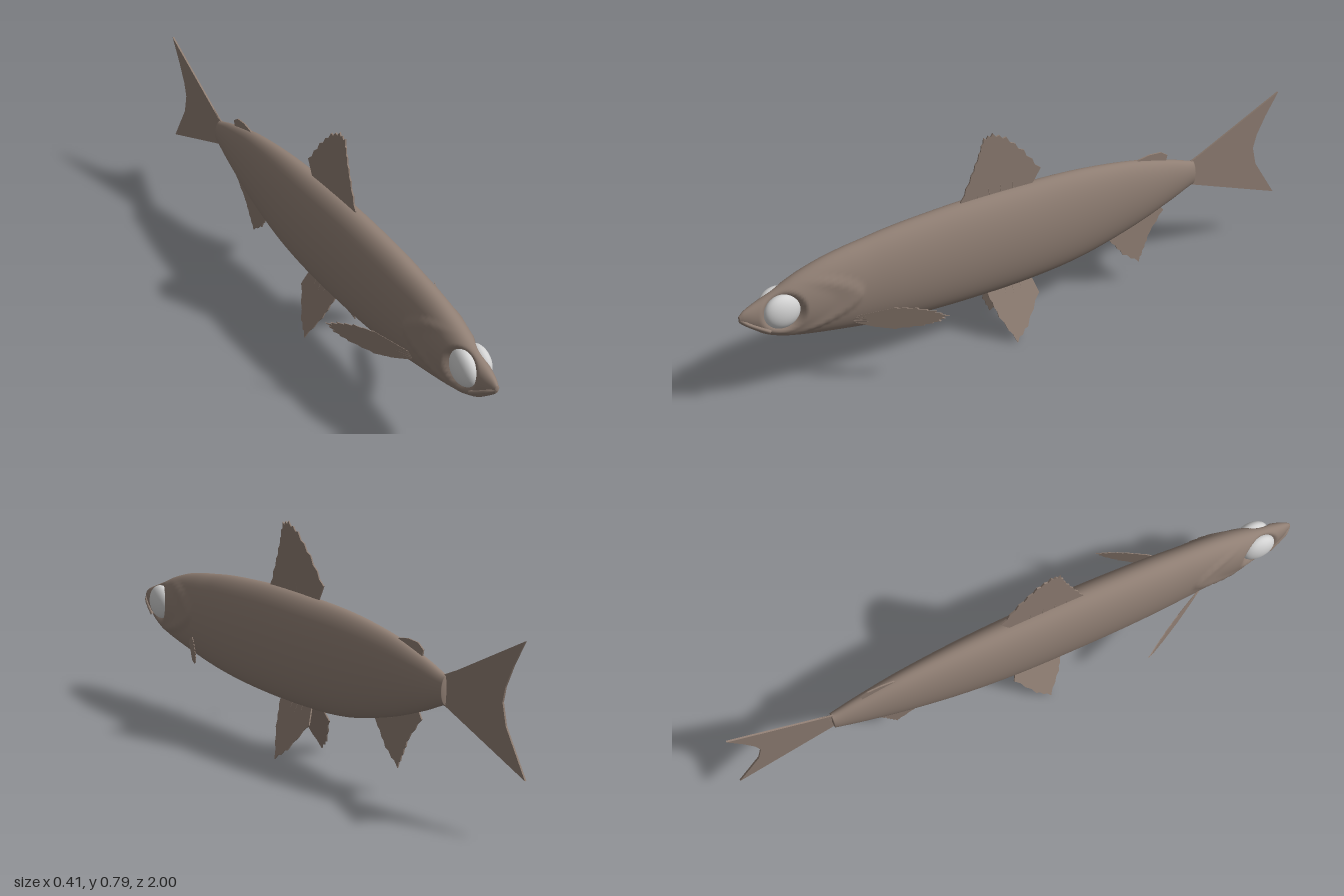
import * as THREE from 'three';
import { mergeGeometries, mergeVertices } from 'three/addons/utils/BufferGeometryUtils.js';

const skin = new THREE.MeshStandardMaterial({ color: 0x8f7e73 });
skin.name = 'skin brown';
const eyeWhite = new THREE.MeshStandardMaterial({ color: 0xd2d2d2 });
eyeWhite.name = 'eye grey';

// z, bottom, top, half width, from snout to tail root
const stations = [
  [1.0, 0.368, 0.392, 0.006], [0.985, 0.352, 0.405, 0.014], [0.96, 0.33, 0.417, 0.024],
  [0.92, 0.298, 0.433, 0.035], [0.87, 0.275, 0.453, 0.047], [0.82, 0.26, 0.475, 0.055],
  [0.77, 0.248, 0.493, 0.061], [0.71, 0.235, 0.51, 0.065], [0.64, 0.221, 0.523, 0.069],
  [0.57, 0.208, 0.532, 0.072], [0.48, 0.195, 0.543, 0.076], [0.36, 0.184, 0.551, 0.079],
  [0.2, 0.177, 0.556, 0.08], [0.0, 0.177, 0.551, 0.078], [-0.2, 0.195, 0.539, 0.069],
  [-0.4, 0.244, 0.509, 0.053], [-0.55, 0.298, 0.467, 0.036], [-0.63, 0.333, 0.438, 0.025],
  [-0.652, 0.34, 0.432, 0.021],
];
const EYE = { x: 0.025, y: 0.381, z: 0.868 };
const smooth = THREE.MathUtils.smoothstep;

// Lofted body with sunken eye sockets and raised gill covers
function bodyGeometry() {
  const spline = (f) => new THREE.CatmullRomCurve3(stations.map(f), false, 'catmullrom');
  const heights = spline((s) => new THREE.Vector3(s[0], s[1], s[2]));
  const widths = spline((s) => new THREE.Vector3(s[0], s[3], 0));
  const rows = 144, cols = 56, pos = [], index = [];
  for (let i = 0; i <= rows; i++) {
    const { x: z, y: low, z: high } = heights.getPoint(i / rows);
    const half = widths.getPoint(i / rows).y;
    for (let j = 0; j < cols; j++) {
      const a = (j / cols) * Math.PI * 2;
      const y = (low + high) / 2 + Math.cos(a) * (high - low) / 2;
      let x = half * Math.sin(a);
      const d = Math.hypot(z - EYE.z, y - EYE.y);
      x *= 1 - 0.55 * (1 - smooth(d, 0.045, 0.075));
      const edge = 0.61 + 0.13 * ((y - 0.39) / 0.085) ** 2;
      const gill = smooth(z, edge - 0.006, edge + 0.012) * (1 - smooth(z, edge + 0.02, edge + 0.1));
      x += Math.sign(x) * 0.006 * gill * smooth(y, 0.27, 0.31) * (1 - smooth(y, 0.45, 0.48));
      pos.push(x, y, z);
    }
  }
  for (let i = 0; i < rows; i++) for (let j = 0; j < cols; j++) {
    const a = i * cols + j, b = i * cols + (j + 1) % cols;
    index.push(a, b, a + cols, b, b + cols, a + cols);
  }
  // End caps
  const nose = pos.length / 3, tail = nose + 1, last = rows * cols;
  pos.push(0, 0.38, 1.001, 0, 0.386, -0.655);
  for (let j = 0; j < cols; j++) {
    const k = (j + 1) % cols;
    index.push(nose, k, j, tail, last + j, last + k);
  }
  const g = new THREE.BufferGeometry();
  g.setAttribute('position', new THREE.Float32BufferAttribute(pos, 3));
  g.setIndex(index);
  g.computeVertexNormals();
  return g;
}

// Thin fin: outline runs from base start to base end; the free edge may be ragged
function finGeometry(outline, { teeth = 0, rays = 6, rayLength = 0.45, thick = 0.005 } = {}) {
  const pts = outline.map((p) => new THREE.Vector2(...p));
  const n = pts.length, start = pts[0], end = pts[n - 1];
  const mid = start.clone().add(end).multiplyScalar(0.5);
  const edge = [start];
  for (let i = 0; i < n - 1; i++) {
    if (teeth && i > 0 && i < n - 2) {
      for (let k = 1; k < 4; k++) {
        edge.push(pts[i].clone().lerp(pts[i + 1], k / 4).lerp(mid, k % 2 ? teeth : 0));
      }
    }
    edge.push(pts[i + 1]);
  }
  const parts = [new THREE.ExtrudeGeometry(new THREE.Shape(edge), { depth: thick, bevelEnabled: false })
    .translate(0, 0, -thick / 2)];
  // Raised rays fanning from the base
  for (let i = 0; i < rays; i++) {
    const t = (i + 0.5) / rays;
    const from = start.clone().lerp(end, t);
    const f = 1 + t * (n - 3), k = Math.min(Math.floor(f), n - 3);
    const dir = pts[k].clone().lerp(pts[k + 1], f - k).sub(from).multiplyScalar(rayLength);
    const ray = new THREE.CylinderGeometry(0.001, 0.004, dir.length(), 6);
    ray.rotateZ(Math.atan2(dir.y, dir.x) - Math.PI / 2);
    ray.translate(from.x + dir.x / 2, from.y + dir.y / 2, 0);
    parts.push(ray.toNonIndexed());
  }
  return mergeGeometries(parts);
}

// Slant a geometry by adding a shift to one axis
function shear(g, fn) {
  const p = g.attributes.position;
  for (let i = 0; i < p.count; i++) {
    const [dx, dz] = fn(p.getX(i), p.getY(i));
    p.setX(i, p.getX(i) + dx);
    p.setZ(i, p.getZ(i) + dz);
  }
  g.computeVertexNormals();
  return g;
}

export function createModel() {
  const fish = new THREE.Group();
  fish.name = 'fish';
  const add = (name, geometry, material = skin) => {
    const mesh = new THREE.Mesh(geometry, material);
    mesh.name = name;
    fish.add(mesh);
    return mesh;
  };
  add('body', bodyGeometry());

  // Fins on the centre line, drawn as (-z, y)
  const upright = (outline, options) => finGeometry(outline, options).rotateY(Math.PI / 2);
  const dorsal = upright([[-0.235, 0.535], [-0.233, 0.56], [-0.196, 0.65], [-0.169, 0.724], [-0.153, 0.78],
    [-0.121, 0.788], [-0.072, 0.76], [-0.008, 0.69], [0.056, 0.6], [0.02, 0.535]], { teeth: 0.04 });
  add('dorsalFin', shear(dorsal, (x, y) => [(y - 0.55) * 0.042, 0]));
  add('adiposeFin', upright([[0.4, 0.49], [0.435, 0.506], [0.475, 0.512], [0.52, 0.508], [0.545, 0.49],
    [0.54, 0.465], [0.5, 0.465]], { rays: 0 }));
  const anal = upright([[0.31, 0.24], [0.335, 0.2], [0.378, 0.14], [0.442, 0.09], [0.464, 0.14],
    [0.485, 0.193], [0.54, 0.268], [0.51, 0.315]], { teeth: 0.04 });
  add('analFin', shear(anal, (x, y) => [(0.25 - y) * 0.06, 0]));
  add('tailFin', upright([[0.63, 0.43], [0.655, 0.437], [0.985, 0.606], [0.94, 0.525], [0.909, 0.456], [0.898, 0.407],
    [0.914, 0.338], [1.0, 0.193], [0.655, 0.335], [0.63, 0.342]], { rays: 9, rayLength: 0.4, thick: 0.006 }));

  for (const [side, s] of [['left', 1], ['right', -1]]) {
    // Eyes
    const eye = add(side + 'Eye', new THREE.SphereGeometry(0.06, 32, 24), eyeWhite);
    eye.scale.x = 0.55;
    eye.position.set(s * EYE.x, EYE.y, EYE.z);

    // Upper jaw ridge
    const jaw = new THREE.CatmullRomCurve3([[0, 0.379, 0.998], [s * 0.016, 0.367, 0.98], [s * 0.026, 0.347, 0.95],
      [s * 0.034, 0.325, 0.915]].map((p) => new THREE.Vector3(...p)));
    add(side + 'Jaw', new THREE.TubeGeometry(jaw, 16, 0.006, 8));

    // Belly fins splayed outward
    const pelvic = upright([[-0.155, 0.2], [-0.15, 0.165], [-0.13, 0.097], [-0.083, 0.002], [-0.035, 0.04],
      [0.03, 0.134], [0.01, 0.2]], { teeth: 0.04 });
    add(side + 'PelvicFin', shear(pelvic, (x, y) => [s * (0.022 + (0.18 - y) * 0.435), 0]));

    // Side fins swept back
    const pectoral = finGeometry([[0.055, 0.295], [0.09, 0.315], [0.12, 0.332], [0.155, 0.332], [0.185, 0.32],
      [0.205, 0.303], [0.192, 0.28], [0.165, 0.262], [0.12, 0.247], [0.09, 0.254], [0.055, 0.272]]
      .map(([x, y]) => [s * x, y]), { teeth: 0.05, rays: 5, rayLength: 0.4 });
    add(side + 'PectoralFin', shear(pectoral, (x) => [0, 0.625 - (Math.abs(x) - 0.065) * 1.72]));
  }
  return fish;
}
